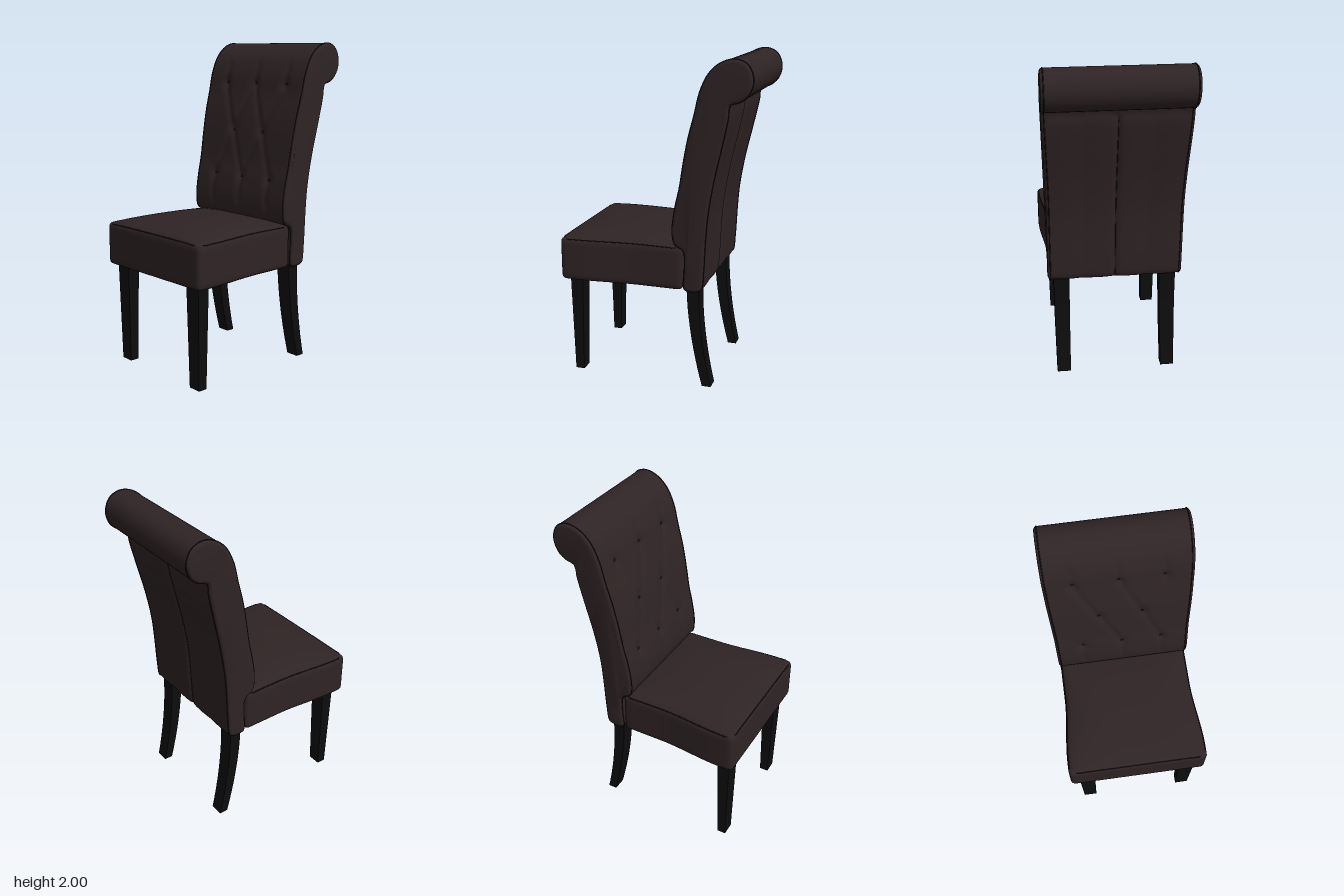
import * as THREE from 'three';
import { mergeVertices, toCreasedNormals } from 'three/addons/utils/BufferGeometryUtils.js';

const mat = (name, color, side = THREE.FrontSide) => {
  const m = new THREE.MeshStandardMaterial({ color, side });
  m.name = name;
  return m;
};
const smooth = THREE.MathUtils.smoothstep;

// Side profile of the backrest as [z, y]: up the front, over the roll, down the rear
const PROFILE = [
  [-0.2, 0.63], [-0.198, 0.75], [-0.19, 0.87], [-0.135, 0.91], [-0.122, 1.0], [-0.14, 1.14], [-0.165, 1.25],
  [-0.19, 1.4], [-0.22, 1.55], [-0.255, 1.68], [-0.29, 1.82], [-0.34, 1.92], [-0.41, 1.98],
  [-0.49, 2.0], [-0.56, 1.97], [-0.592, 1.89], [-0.57, 1.81], [-0.52, 1.765], [-0.463, 1.745],
  [-0.458, 1.68], [-0.42, 1.5], [-0.375, 1.3], [-0.342, 1.1], [-0.33, 0.95], [-0.32, 0.75],
  [-0.308, 0.64], [-0.295, 0.63],
];

// Button positions and the creases that join them
const BUTTONS = [[-0.26, 1.745], [0, 1.745], [0.26, 1.745], [-0.13, 1.455], [0.13, 1.455],
  [-0.25, 1.165], [0, 1.165], [0.25, 1.165]];
const CREASES = [[0, 3], [1, 3], [1, 4], [2, 4], [5, 3], [6, 3], [6, 4], [7, 4]]
  .map(([a, b]) => [...BUTTONS[a], ...BUTTONS[b]]);
[0, 1, 2].forEach((i) => CREASES.push([...BUTTONS[i], BUTTONS[i][0], 1.86]));
[5, 6, 7].forEach((i) => CREASES.push([...BUTTONS[i], BUTTONS[i][0], 1.0]));

function tuftDepth(x, y) {
  let near = 1, button = 1;
  for (const [ax, ay, bx, by] of CREASES) {
    const dx = bx - ax, dy = by - ay;
    const t = THREE.MathUtils.clamp(((x - ax) * dx + (y - ay) * dy) / (dx * dx + dy * dy), 0, 1);
    near = Math.min(near, Math.hypot(x - ax - t * dx, y - ay - t * dy));
  }
  for (const [bx, by] of BUTTONS) button = Math.min(button, Math.hypot(x - bx, y - by));
  return 0.007 * Math.exp(-((near / 0.022) ** 2)) + 0.014 * Math.exp(-((button / 0.035) ** 2));
}

// Evenly sampled profile with outward normals
const COUNT = 150;
const curve = new THREE.CatmullRomCurve3(PROFILE.map(([z, y]) => new THREE.Vector3(0, y, z)), true, 'centripetal');
const SAMPLES = Array.from({ length: COUNT }, (_, j) => {
  const p = curve.getPointAt(j / COUNT), t = curve.getTangentAt(j / COUNT);
  return { z: p.z, y: p.y, nz: t.y, ny: -t.z };
});
const widthAt = (y) => 0.98 + 0.045 * smooth(y, 1.1, 1.85);

function backPoint(x, s, inset = 0) {
  let d = inset;
  if (s.nz > 0.3 && s.y > 0.93) d += tuftDepth(x, s.y);
  if (s.nz < -0.3 && s.y < 1.71) {
    d += 0.01 * Math.exp(-((x / 0.014) ** 2)) + 0.004 * (1 - Math.abs(Math.sin(x * 15.5)));
  }
  return new THREE.Vector3(x * widthAt(s.y), s.y - s.ny * d, s.z - s.nz * d);
}

function backGeometry() {
  const rings = [], N = 64, R = 0.02, E = 0.405;
  for (let k = 4; k >= 1; k--) rings.push([-E - R * Math.sin(k * Math.PI / 8), R * (1 - Math.cos(k * Math.PI / 8))]);
  for (let i = 0; i <= N; i++) rings.push([-E + (2 * E * i) / N, 0]);
  for (let k = 1; k <= 4; k++) rings.push([E + R * Math.sin(k * Math.PI / 8), R * (1 - Math.cos(k * Math.PI / 8))]);
  const pos = [], idx = [];
  rings.forEach(([x, inset], i) => SAMPLES.forEach((s, j) => {
    pos.push(...backPoint(x, s, inset).toArray());
    if (i === rings.length - 1) return;
    const a = i * COUNT + j, b = i * COUNT + (j + 1) % COUNT;
    idx.push(a, a + COUNT, b, b, a + COUNT, b + COUNT);
  }));
  // Side caps
  const outline = SAMPLES.map((s) => new THREE.Vector2(s.z - s.nz * R, s.y - s.ny * R));
  const last = (rings.length - 1) * COUNT;
  for (const [a, b, c] of THREE.ShapeUtils.triangulateShape(outline, [])) {
    idx.push(a, b, c, last + a, last + c, last + b);
  }
  const g = new THREE.BufferGeometry();
  g.setAttribute('position', new THREE.Float32BufferAttribute(pos, 3));
  g.setIndex(idx);
  return toCreasedNormals(g, 0.8);
}

// Seat cushion: rounded block, crowned on top and wider at the front
const SEAT = { x: 0.44, y: 0.135, z: 0.388, cy: 0.757, cz: 0.202 };
function seatPoint(p) {
  const u = p.x / SEAT.x, w = p.z / SEAT.z;
  const top = Math.max(0, (p.y + SEAT.y) / (2 * SEAT.y)) ** 4;
  const crown = 0.046 * Math.max(0, 1 - u ** 4) * Math.max(0, 1 - w * w) ** 0.7 * top;
  const z = p.z + SEAT.cz;
  p.x *= 0.93 + 0.07 * smooth(z, 0.08, 0.5);
  p.y += SEAT.cy + crown;
  p.z = z;
  return p;
}
function seatGeometry() {
  const { x, y, z } = SEAT, r = 0.03;
  let g = new THREE.BoxGeometry(2 * x, 2 * y, 2 * z, 44, 16, 40);
  g.deleteAttribute('uv');
  g.deleteAttribute('normal');
  g = mergeVertices(g);
  const a = g.attributes.position, p = new THREE.Vector3(), core = new THREE.Vector3();
  const lim = new THREE.Vector3(x - r, y - r, z - r);
  for (let i = 0; i < a.count; i++) {
    p.fromBufferAttribute(a, i);
    core.copy(p).clamp(lim.clone().negate(), lim);
    p.sub(core);
    if (p.lengthSq() > 0) p.setLength(Math.min(r, Math.max(Math.abs(p.x), Math.abs(p.y), Math.abs(p.z))));
    seatPoint(p.add(core));
    a.setXYZ(i, p.x, p.y, p.z);
  }
  g.computeVertexNormals();
  return g;
}

// Square tapered leg following centreline z(y)
function legGeometry(zAt, wTop, wBottom, dTop, dBottom) {
  const g = new THREE.BoxGeometry(1, 1, 1, 1, 10, 1), a = g.attributes.position;
  for (let i = 0; i < a.count; i++) {
    const t = a.getY(i) + 0.5;
    a.setXYZ(i, a.getX(i) * THREE.MathUtils.lerp(wBottom, wTop, t), t * 0.635,
      zAt(t) + a.getZ(i) * THREE.MathUtils.lerp(dBottom, dTop, t));
  }
  g.computeVertexNormals();
  return g;
}

export function createModel() {
  const group = new THREE.Group();
  group.name = 'diningChair';
  const leather = mat('dark brown upholstery', 0x2f2425);
  const seam = mat('seam', 0x1a1314);
  const wood = mat('black wood', 0x0d0d0d);
  const cloth = mat('underside cloth', 0x383020);
  const add = (name, geo, m) => {
    const mesh = new THREE.Mesh(geo, m);
    mesh.name = name;
    group.add(mesh);
    return mesh;
  };
  const tube = (name, pts, r, m, closed = false) =>
    add(name, new THREE.TubeGeometry(new THREE.CatmullRomCurve3(pts, closed), pts.length * 2, r, 6, closed), m);

  add('backrest', backGeometry(), leather);
  add('seat', seatGeometry(), leather);

  // Buttons sunk into the tufts
  const front = SAMPLES.filter((s) => s.nz > 0.3 && s.y > 0.93);
  for (const [x, y] of BUTTONS) {
    const s = front.reduce((m, c) => (Math.abs(c.y - y) < Math.abs(m.y - y) ? c : m));
    const b = add('button', new THREE.SphereGeometry(0.011, 12, 8), seam);
    b.position.copy(backPoint(x, s));
    b.scale.z = 0.5;
  }

  // Seams along the backrest edges and down the middle of the rear
  for (const side of [-1, 1]) {
    tube('backEdgeSeam', SAMPLES.map((s) => backPoint(side * 0.408, s)), 0.0035, seam, true);
  }
  const rear = SAMPLES.filter((s) => s.nz < -0.3 && s.y < 1.7);
  tube('rearSeam', rear.map((s) => backPoint(0, s)), 0.003, seam);

  // Seat piping around the top edge
  const edge = [], ex = SEAT.x - 0.009, ez = SEAT.z - 0.009, ey = SEAT.y - 0.009;
  const corners = [[-1, 1], [1, 1], [1, -1], [-1, -1]];
  corners.forEach(([cx, cz], i) => {
    const [nx, nz] = corners[(i + 1) % 4];
    for (let k = 1; k < 20; k++) {
      const t = k / 20;
      edge.push(seatPoint(new THREE.Vector3(ex * (cx + (nx - cx) * t), ey, ez * (cz + (nz - cz) * t))));
    }
  });
  tube('seatPiping', edge, 0.0035, seam, true);

  // Cloth panel under the seat
  const panel = add('undersidePanel', new THREE.BoxGeometry(0.74, 0.008, 0.68), cloth);
  panel.position.set(0, 0.62, 0.19);

  // Straight front legs and swept rear legs
  const frontGeo = legGeometry(() => 0.508, 0.105, 0.085, 0.08, 0.056);
  const rearGeo = legGeometry((t) => -0.245 - 0.088 * (1 - t) ** 1.8, 0.1, 0.085, 0.076, 0.056);
  for (const side of [-1, 1]) {
    add('frontLeg', frontGeo, wood).position.x = side * 0.332;
    add('rearLeg', rearGeo, wood).position.x = side * 0.332;
  }
  return group;
}
